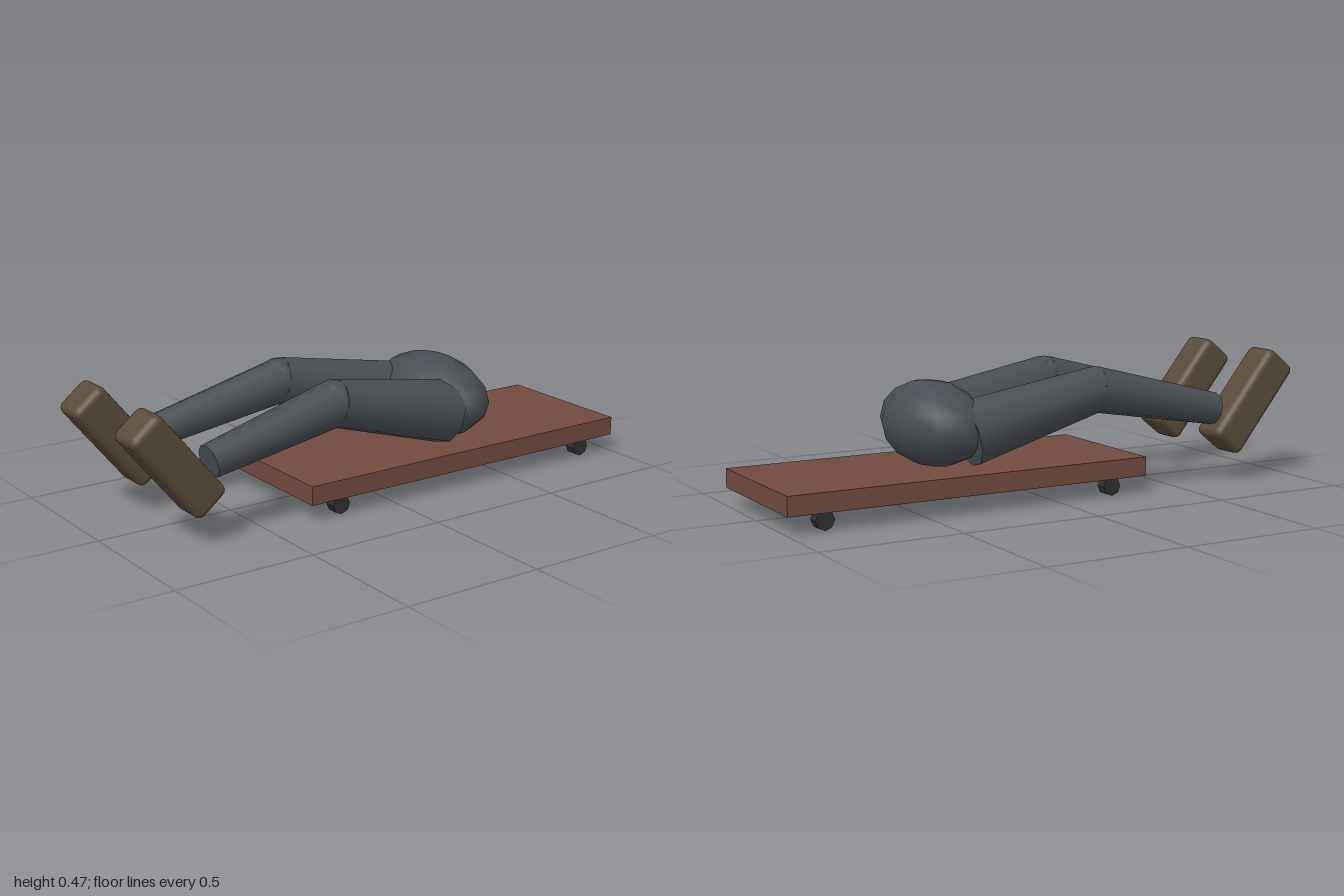
import * as THREE from 'three';
import { RoundedBoxGeometry } from 'three/addons/geometries/RoundedBoxGeometry.js';

const mat = (color) => new THREE.MeshStandardMaterial({ color });
const wood = mat(0x704a40);
const cloth = mat(0x4a4e54);
const leather = mat(0x5a4b3c);
const rubber = mat(0x303030);
rubber.flatShading = true;

function add(parent, name, geometry, material, x, y, z) {
  const mesh = new THREE.Mesh(geometry, material);
  mesh.name = name;
  mesh.position.set(x, y, z);
  parent.add(mesh);
  return mesh;
}

// Tapered limb running from point a to point b
function addLimb(parent, name, a, b, radiusA, radiusB) {
  const axis = b.clone().sub(a);
  const middle = a.clone().add(b).multiplyScalar(0.5);
  const geometry = new THREE.CylinderGeometry(radiusB, radiusA, axis.length(), 10);
  const limb = add(parent, name, geometry, cloth, middle.x, middle.y, middle.z);
  limb.quaternion.setFromUnitVectors(new THREE.Vector3(0, 1, 0), axis.normalize());
}

export function createModel() {
  const model = new THREE.Group();
  model.name = 'legsOnRollingBoard';

  // Board
  add(model, 'board', new THREE.BoxGeometry(0.536, 0.067, 1.345), wood, 0, 0.0955, -0.3275);

  // Pelvis
  const pelvis = add(model, 'pelvis', new THREE.SphereGeometry(1, 10, 8), cloth, 0, 0.27, -0.355);
  pelvis.scale.set(0.268, 0.147, 0.158);

  const wheelGeometry = new THREE.CylinderGeometry(0.034, 0.034, 0.04, 8).rotateZ(Math.PI / 2);

  for (const [side, s] of [['left', 1], ['right', -1]]) {
    // Wheels
    add(model, side + 'FrontWheel', wheelGeometry, rubber, s * 0.23, 0.034, 0.215);
    add(model, side + 'BackWheel', wheelGeometry, rubber, s * 0.23, 0.034, -0.865);

    // Leg: thigh, knee and shin
    const leg = new THREE.Group();
    leg.name = side + 'Leg';
    model.add(leg);
    const hip = new THREE.Vector3(s * 0.142, 0.247, -0.3);
    const knee = new THREE.Vector3(s * 0.17, 0.366, 0.19);
    const ankle = new THREE.Vector3(s * 0.188, 0.262, 0.69);
    addLimb(leg, 'thigh', hip, knee, 0.116, 0.083);
    add(leg, 'knee', new THREE.SphereGeometry(0.081, 10, 8), cloth, knee.x, knee.y, knee.z);
    addLimb(leg, 'shin', knee, ankle, 0.081, 0.058);

    // Boot, toes tipped up and forward
    const boot = add(leg, 'boot', new RoundedBoxGeometry(0.138, 0.389, 0.137, 2, 0.025),
      leather, s * 0.19, 0.284, 0.83);
    boot.rotation.x = 0.68;
  }
  return model;
}
